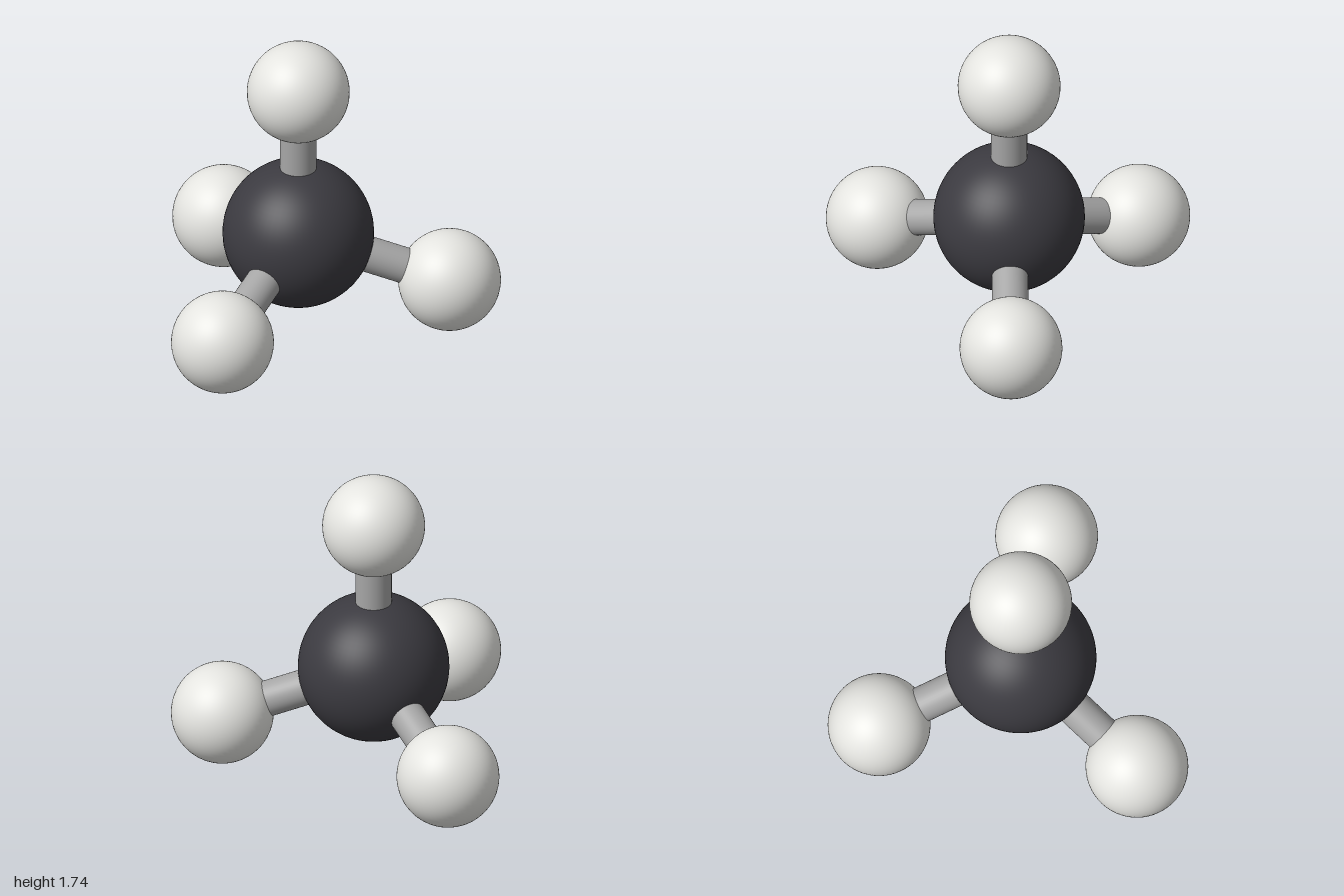
import * as THREE from 'three';

export function createModel() {
  const model = new THREE.Group();
  const dark = new THREE.MeshStandardMaterial({ name: 'charcoal', color: 0x3b3a40 });
  const pale = new THREE.MeshStandardMaterial({ name: 'offWhite', color: 0xe4e4e0 });
  const grey = new THREE.MeshStandardMaterial({ name: 'bondGrey', color: 0xa6a6a6 });

  const centre = new THREE.Vector3(0.034, 0.577, -0.177);
  const up = new THREE.Vector3(0, 1, 0);

  function add(name, geometry, material, position) {
    const mesh = new THREE.Mesh(geometry, material);
    mesh.name = name;
    mesh.position.copy(position);
    model.add(mesh);
    return mesh;
  }

  // Central atom
  add('centralAtom', new THREE.SphereGeometry(0.417, 64, 40), dark, centre);

  // Four outer atoms in a tetrahedron, each joined to the centre by a bond
  const outerGeometry = new THREE.SphereGeometry(0.283, 56, 36);
  const outerAtoms = {
    top: [0.034, 1.458, -0.177],
    front: [0.107, 0.283, 0.65],
    backRight: [-0.717, 0.283, -0.53],
    backLeft: [0.717, 0.283, -0.652],
  };
  for (const [place, xyz] of Object.entries(outerAtoms)) {
    const end = new THREE.Vector3(...xyz);
    const along = end.clone().sub(centre);
    add(place + 'Atom', outerGeometry, pale, end);
    const bond = add(
      place + 'Bond',
      new THREE.CylinderGeometry(0.1, 0.1, along.length(), 40, 1, true),
      grey,
      centre.clone().lerp(end, 0.5)
    );
    bond.quaternion.setFromUnitVectors(up, along.normalize());
  }
  return model;
}
